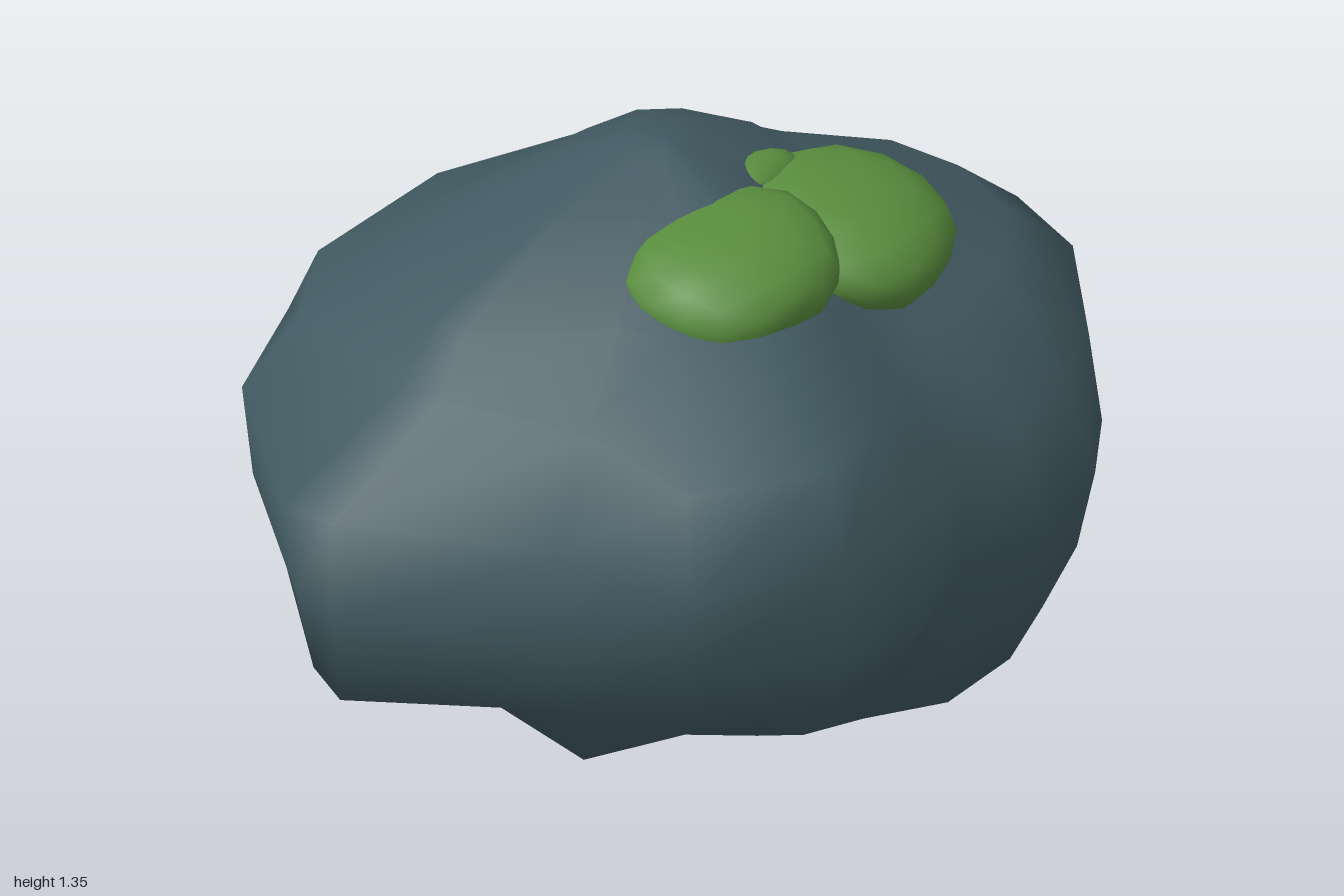
import * as THREE from 'three';
import { mergeVertices } from 'three/addons/utils/BufferGeometryUtils.js';

// Boulder cross-sections: directions in degrees from +x towards +z, then height and radii per ring
const ANGLES = [-6, 8, 23, 47, 60, 76, 91, 106, 117, 136, 153, 180, 187, 213, 233, 265, 295, 316, 335];
const RINGS = [
  [0.12, [.61, .65, .77, .82, .76, .67, .55, .51, .47, .44, .42, .36, .35, .28, .34, .53, .65, .73, .64]],
  [0.28, [.80, .83, .90, .88, .82, .74, .71, .62, .57, .62, .73, .66, .66, .60, .65, .74, .80, .83, .79]],
  [0.46, [.86, .90, .94, .90, .88, .85, .78, .79, .82, .79, .79, 1.0, .98, .91, .87, .76, .80, .82, .80]],
  [0.66, [.92, .98, .97, .92, .90, .845, .79, .89, .91, .88, .84, 1.0, 1.0, .95, .88, .81, .84, .81, .79]],
  [0.88, [.975, 1.01, .97, .87, .81, .78, .76, .83, .89, .955, .84, .98, 1.008, .95, .88, .855, .85, .81, .81]],
  [1.03, [.79, .80, .77, .67, .57, .54, .58, .71, .79, .82, .65, .69, .72, .82, .80, .73, .71, .78, .71]],
  [1.15, [.43, .42, .39, .36, .34, .34, .38, .45, .48, .46, .45, .61, .63, .60, .57, .46, .48, .46, .42]],
];
const N = ANGLES.length;

function boulderGeometry() {
  const pos = [], index = [];
  const addRing = (y, radius, cx = 0, cz = 0) => ANGLES.forEach((deg, i) => {
    const a = THREE.MathUtils.degToRad(deg);
    pos.push(cx + radius(i) * Math.cos(a), y, cz + radius(i) * Math.sin(a));
  });
  addRing(0, () => 0.11, 0.1, 0.29);
  for (const [y, radii] of RINGS) addRing(y, (i) => radii[i]);
  const shoulder = RINGS[RINGS.length - 1][1];
  addRing(1.27, (i) => shoulder[i] * 0.57, 0.02, -0.03);
  addRing(1.35, () => 0.08, -0.03, -0.05);

  const rows = RINGS.length + 3;
  for (let j = 0; j < rows - 1; j++) {
    for (let i = 0; i < N; i++) {
      const k = (i + 1) % N;
      const a = j * N + i, b = j * N + k, c = a + N, d = b + N;
      index.push(a, c, b, b, c, d);
    }
  }
  // Flat caps at the foot and the peak
  const foot = pos.length / 3, peak = foot + 1, last = (rows - 1) * N;
  pos.push(0.1, 0, 0.29, -0.03, 1.35, -0.05);
  for (let i = 0; i < N; i++) {
    const k = (i + 1) % N;
    index.push(foot, i, k, peak, last + k, last + i);
  }
  const geo = new THREE.BufferGeometry();
  geo.setAttribute('position', new THREE.Float32BufferAttribute(pos, 3));
  geo.setIndex(index);
  geo.computeVertexNormals();
  return geo;
}

// Boxy, slightly lumpy cushion of moss
function mossGeometry(phase) {
  let geo = new THREE.IcosahedronGeometry(1, 2);
  geo.deleteAttribute('normal');
  geo.deleteAttribute('uv');
  geo = mergeVertices(geo, 1e-3);
  const p = geo.attributes.position, v = new THREE.Vector3();
  for (let i = 0; i < p.count; i++) {
    v.fromBufferAttribute(p, i);
    const box = (Math.abs(v.x) ** 2.4 + Math.abs(v.y) ** 2.4 + Math.abs(v.z) ** 2.4) ** (-1 / 2.4);
    v.multiplyScalar(box * (1 + 0.05 * Math.sin(3 * v.x + phase) * Math.cos(3 * v.z - phase)));
    p.setXYZ(i, v.x, v.y, v.z);
  }
  geo.computeVertexNormals();
  return geo;
}

export function createModel() {
  const group = new THREE.Group();
  const stone = new THREE.MeshStandardMaterial({ color: 0x415961 });
  const green = new THREE.MeshStandardMaterial({ color: 0x588c3d });

  const boulder = new THREE.Mesh(boulderGeometry(), stone);
  boulder.name = 'boulder';
  group.add(boulder);

  // Moss cushions: name, centre, half sizes, tilt
  const cushions = [
    ['mossLeft', [0.2, 1.165, 0.27], [0.225, 0.11, 0.23], [0.2, 0.1, -0.06]],
    ['mossRight', [-0.13, 1.19, 0.26], [0.22, 0.095, 0.185], [0.2, -0.1, 0.18]],
    ['mossBack', [0.11, 1.25, 0.11], [0.1, 0.05, 0.06], [0.2, 0, 0]],
  ];
  cushions.forEach(([name, centre, size, tilt], i) => {
    const moss = new THREE.Mesh(mossGeometry(i * 1.7), green);
    moss.name = name;
    moss.position.set(...centre);
    moss.scale.set(...size);
    moss.rotation.set(...tilt);
    group.add(moss);
  });
  return group;
}
